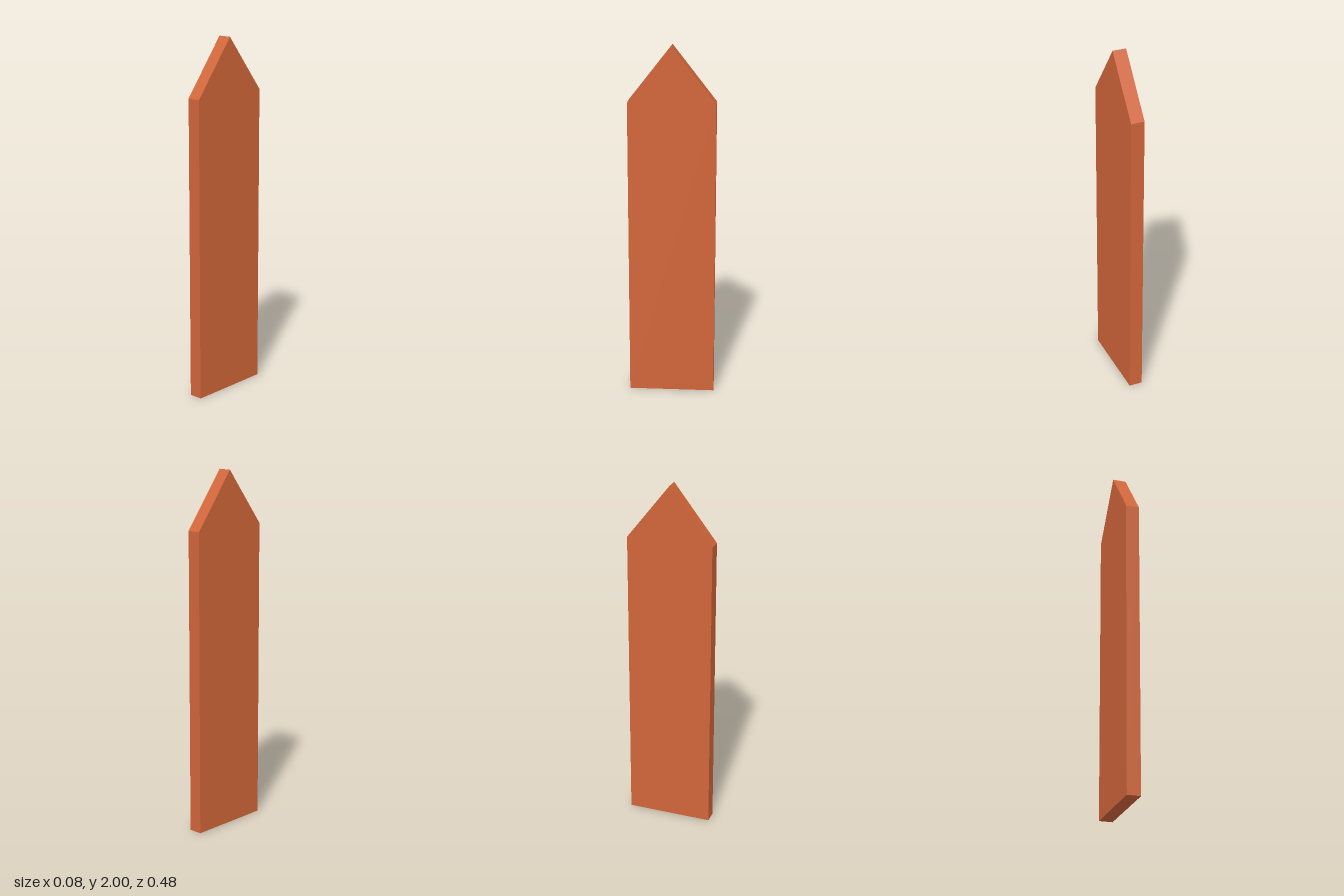
import * as THREE from 'three';

const HALF_WIDTH = 0.24;
const SHOULDER = 1.69;
const HEIGHT = 2;
const THICKNESS = 0.076;

export function createModel() {
  const model = new THREE.Group();
  model.name = 'fencePicket';

  // Pointed board outline, drawn in the width/height plane
  const outline = new THREE.Shape([
    new THREE.Vector2(-HALF_WIDTH, 0),
    new THREE.Vector2(HALF_WIDTH, 0),
    new THREE.Vector2(HALF_WIDTH, SHOULDER),
    new THREE.Vector2(0, HEIGHT),
    new THREE.Vector2(-HALF_WIDTH, SHOULDER),
  ]);

  // Extrude to the board thickness, centre it, and turn the broad faces to the sides
  const geometry = new THREE.ExtrudeGeometry(outline, { depth: THICKNESS, bevelEnabled: false });
  geometry.translate(0, 0, -THICKNESS / 2);
  geometry.rotateY(Math.PI / 2);

  const board = new THREE.Mesh(
    geometry,
    new THREE.MeshStandardMaterial({ color: 0xd2663a, flatShading: true })
  );
  board.name = 'picketBoard';
  model.add(board);
  return model;
}
